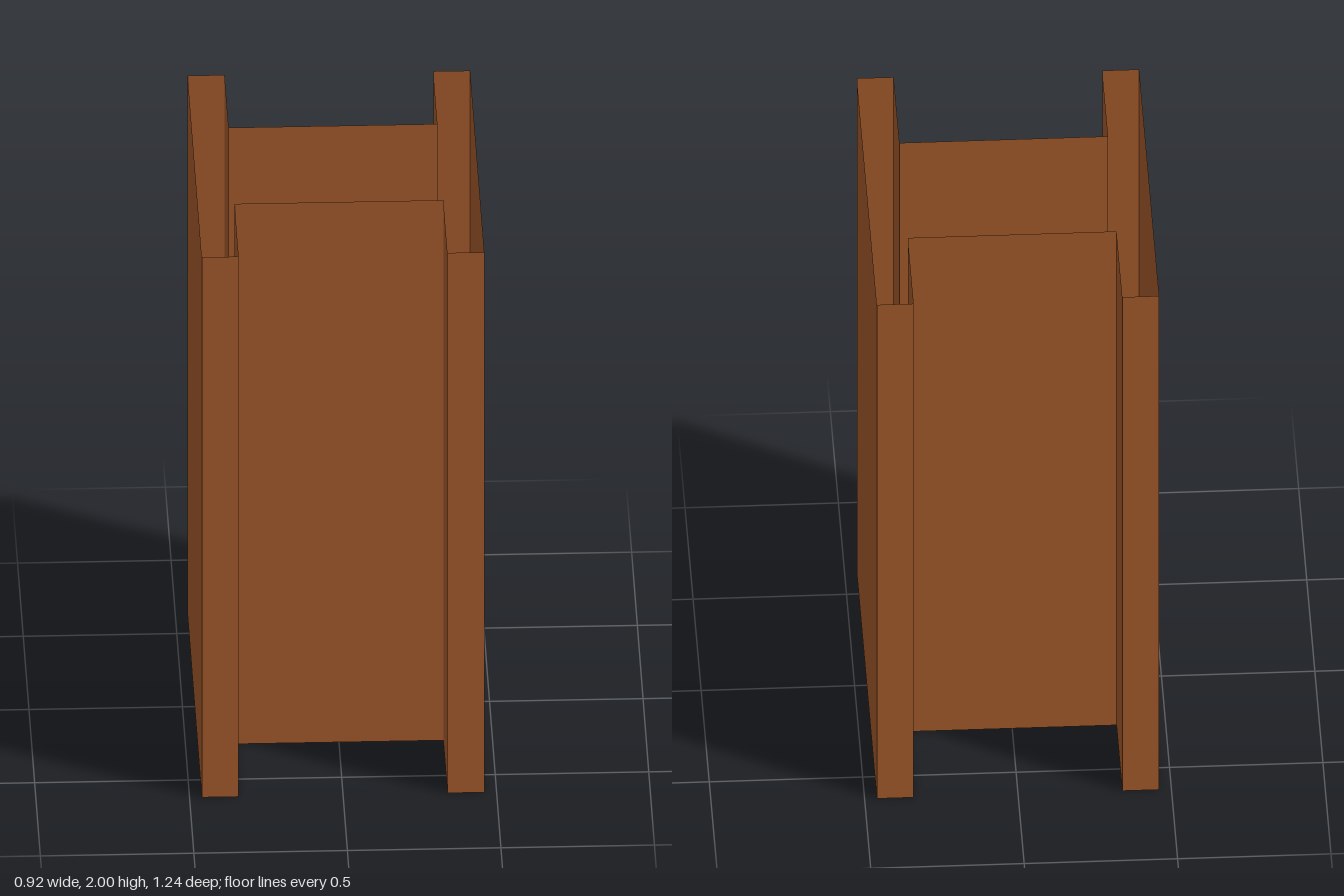
import * as THREE from 'three';

const HEIGHT = 2;
const OUTER_X = 0.46;  // outside face of each flange
const INNER_X = 0.34;  // inside face of each flange
const FLANGE_Z = 0.62; // half depth of the flanges
const WEB_Z = 0.26;    // half depth of the hollow web

export function createModel() {
  const model = new THREE.Group();
  model.name = 'hollowColumn';
  const rust = new THREE.MeshStandardMaterial({ color: 0xa65c2d, side: THREE.DoubleSide });
  rust.name = 'rustBrown';

  // Upright sheet between two plan points [x, z]; its front is to the right of the path
  function wall(name, [x0, z0], [x1, z1], parent) {
    const geometry = new THREE.PlaneGeometry(Math.hypot(x1 - x0, z1 - z0), HEIGHT);
    const mesh = new THREE.Mesh(geometry, rust);
    mesh.name = name;
    mesh.position.set((x0 + x1) / 2, HEIGHT / 2, (z0 + z1) / 2);
    mesh.rotation.y = Math.atan2(z0 - z1, x1 - x0);
    parent.add(mesh);
  }

  // Two hollow flanges, open at top, bottom and where they meet the web
  for (const [name, turn] of [['leftFlange', 0], ['rightFlange', Math.PI]]) {
    const flange = new THREE.Group();
    flange.name = name;
    flange.rotation.y = turn;
    wall('outerFace', [OUTER_X, FLANGE_Z], [OUTER_X, -FLANGE_Z], flange);
    wall('nearEdge', [INNER_X, FLANGE_Z], [OUTER_X, FLANGE_Z], flange);
    wall('farEdge', [OUTER_X, -FLANGE_Z], [INNER_X, -FLANGE_Z], flange);
    wall('nearLip', [INNER_X, WEB_Z], [INNER_X, FLANGE_Z], flange);
    wall('farLip', [INNER_X, -FLANGE_Z], [INNER_X, -WEB_Z], flange);
    model.add(flange);
  }

  // Front and back sheets of the web joining the flanges
  wall('frontWeb', [-INNER_X, WEB_Z], [INNER_X, WEB_Z], model);
  wall('backWeb', [INNER_X, -WEB_Z], [-INNER_X, -WEB_Z], model);

  return model;
}
